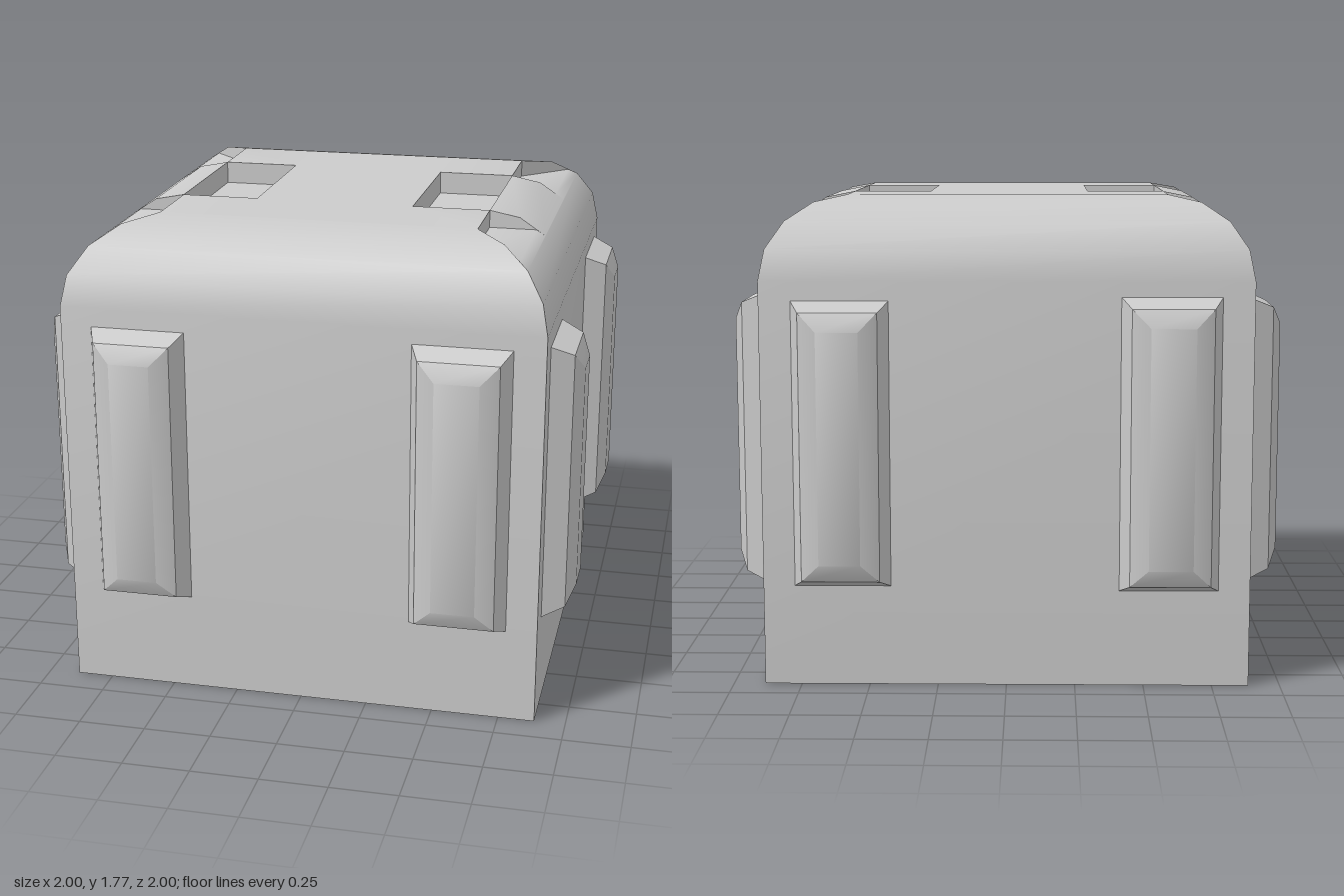
import * as THREE from 'three';
import { toCreasedNormals } from 'three/addons/utils/BufferGeometryUtils.js';

const TOP = 1.775, FLAT = 0.59, R = 0.295, NOTCH = 0.3, FLOOR = 1.69, SHELF = 1.71;

// Collects convex polygons (corners anticlockwise from outside) as triangles
function faceBuilder() {
  const pos = [];
  return {
    add(points, flip = false) {
      const p = flip ? [...points].reverse() : points;
      for (let i = 1; i < p.length - 1; i++) pos.push(...p[0], ...p[i], ...p[i + 1]);
    },
    // Fan that always starts at the first corner, even when flipped
    fan(points, flip) {
      this.add(flip ? [...points.slice(1), points[0]] : points, flip);
    },
    geometry() {
      const g = new THREE.BufferGeometry();
      g.setAttribute('position', new THREE.Float32BufferAttribute(pos, 3));
      return toCreasedNormals(g, 0.62);
    },
  };
}

function makeMesh(geometry, name) {
  const mesh = new THREE.Mesh(geometry, new THREE.MeshStandardMaterial({ color: 0xcccccc }));
  mesh.name = name;
  return mesh;
}

// Side outline as [distance from centre, height], rounded over at the top
function sideProfile() {
  const pts = [[FLAT + R, 0]];
  for (let i = 0; i <= 4; i++) {
    const a = (i * Math.PI) / 8;
    pts.push([FLAT + R * Math.cos(a), TOP - R + R * Math.sin(a)]);
  }
  return pts;
}

function bodyGeometry() {
  const faces = faceBuilder();
  const prof = sideProfile();
  const lip = prof[3], bend = prof[4];

  for (let k = 0; k < 4; k++) {
    const c = Math.round(Math.cos(k * Math.PI / 2)), s = Math.round(Math.sin(k * Math.PI / 2));
    const at = (u, y, d) => [u * c + d * s, y, -u * s + d * c];
    const notched = k % 2 === 1;

    // Mitred wall and rounded shoulder; notched sides keep only the middle of the shoulder
    for (let i = 0; i < prof.length - 1; i++) {
      const [d0, y0] = prof[i], [d1, y1] = prof[i + 1];
      const cut = notched && i >= 3;
      const w0 = cut ? NOTCH : d0, w1 = cut ? NOTCH : d1;
      faces.add([at(-w0, y0, d0), at(w0, y0, d0), at(w1, y1, d1), at(-w1, y1, d1)]);
    }
    if (!notched) continue;

    // Shoulder notches at both ends of the left and right sides
    const section = [bend, [FLAT, TOP], [FLAT, SHELF], [0.765, SHELF], lip];
    for (const m of [1, -1]) {
      const flip = m < 0;
      faces.fan(section.map(([d, y]) => at(m * NOTCH, y, d)), !flip);
      faces.fan(section.map(([d, y]) => at(m * d, y, d)), flip);
      for (let i = 2; i < 4; i++) {
        const [d0, y0] = section[i], [d1, y1] = section[i + 1];
        faces.add([at(m * NOTCH, y0, d0), at(m * NOTCH, y1, d1), at(m * d1, y1, d1), at(m * d0, y0, d0)], flip);
      }
      faces.add([at(m * NOTCH, SHELF, FLAT), at(m * FLAT, SHELF, FLAT), at(m * FLAT, TOP, FLAT), at(m * NOTCH, TOP, FLAT)], flip);
    }
  }

  // Flat top around two sunken pockets
  const corners = (x0, x1, z0, z1) => [[x0, z0], [x0, z1], [x1, z1], [x1, z0]];
  const flat = (list, y) => faces.add(list.map(([x, z]) => [x, y, z]));
  flat(corners(-NOTCH, NOTCH, -FLAT, FLAT), TOP);
  for (const [x0, x1] of [[-FLAT, -NOTCH], [NOTCH, FLAT]]) {
    flat(corners(x0, x1, -FLAT, -NOTCH), TOP);
    flat(corners(x0, x1, NOTCH, FLAT), TOP);
    const pocket = corners(x0, x1, -NOTCH, NOTCH);
    flat(pocket, FLOOR);
    pocket.forEach(([ax, az], i) => {
      const [bx, bz] = pocket[(i + 1) % 4];
      faces.add([[bx, FLOOR, bz], [ax, FLOOR, az], [ax, TOP, az], [bx, TOP, bz]]);
    });
  }

  // Underside
  const h = FLAT + R;
  flat(corners(-h, h, -h, h).reverse(), 0);
  return faces.geometry();
}

// Raised pad: three shrinking rectangles lofted outwards and capped
function padGeometry(x0, x1, y0, y1) {
  const faces = faceBuilder();
  const rings = [[0, FLAT + R], [0.034, 0.967], [0.1, 1]].map(([n, z]) => [
    [x0 + n, y0 + n, z], [x1 - n, y0 + n, z], [x1 - n, y1 - n, z], [x0 + n, y1 - n, z],
  ]);
  for (let r = 0; r < 2; r++) {
    for (let i = 0; i < 4; i++) {
      const j = (i + 1) % 4;
      faces.add([rings[r][i], rings[r][j], rings[r + 1][j], rings[r + 1][i]]);
    }
  }
  faces.add(rings[2]);
  return faces.geometry();
}

export function createModel() {
  const model = new THREE.Group();
  model.name = 'roundedBlock';
  model.add(makeMesh(bodyGeometry(), 'body'));

  // A pair of upright pads on each of the four sides
  const small = padGeometry(-0.77, -0.42, 0.37, 1.41);
  const large = padGeometry(0.41, 0.77, 0.355, 1.425);
  ['front', 'left', 'back', 'right'].forEach((side, k) => {
    const pads = new THREE.Group();
    pads.name = side + 'Pads';
    pads.add(makeMesh(small, side + 'SmallPad'), makeMesh(large, side + 'LargePad'));
    pads.rotation.y = (k * Math.PI) / 2;
    model.add(pads);
  });
  return model;
}
